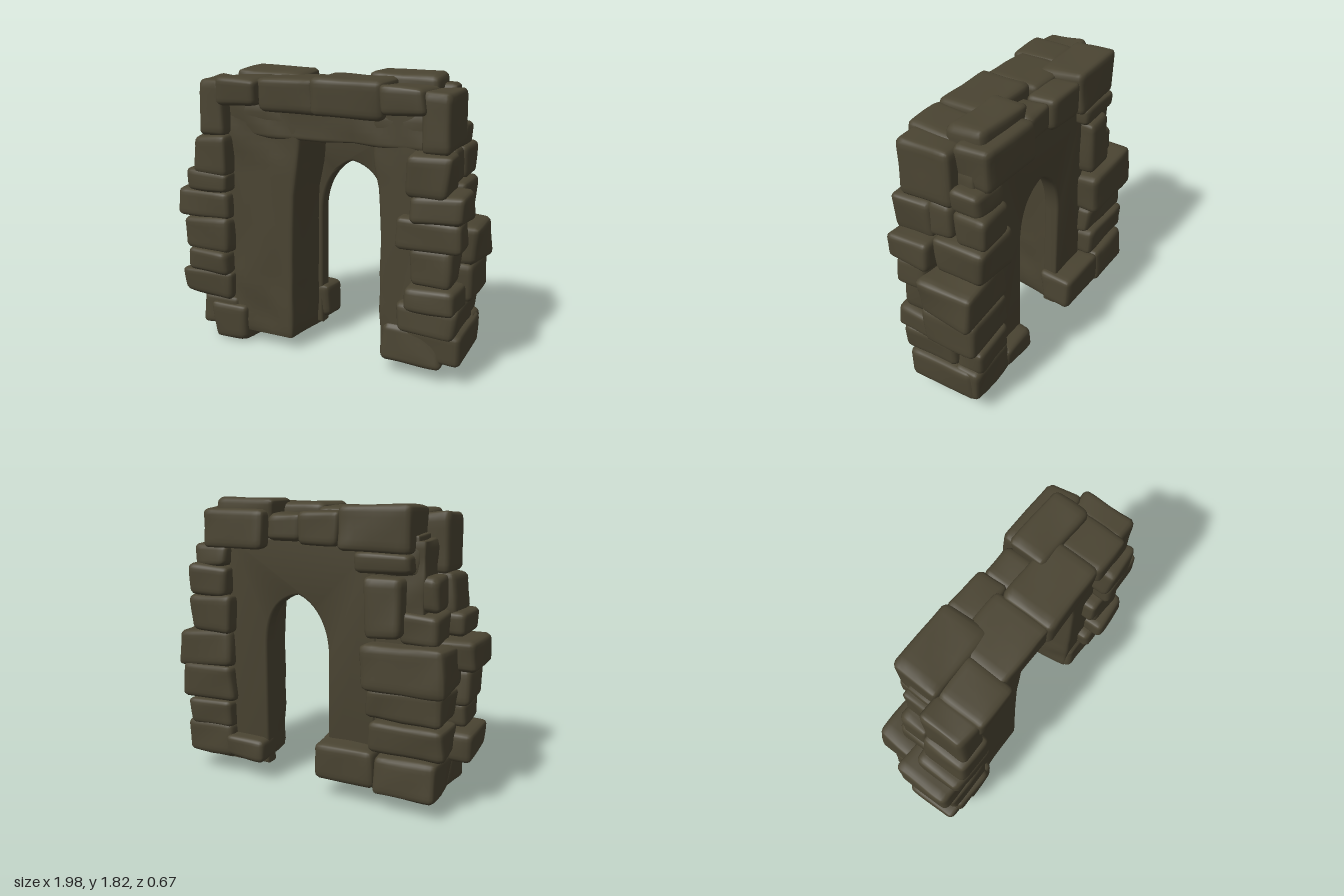
import * as THREE from 'three';
import { mergeVertices, toCreasedNormals } from 'three/addons/utils/BufferGeometryUtils.js';

const stoneMat = new THREE.MeshStandardMaterial({ color: 0x4a4432 });
stoneMat.name = 'darkStone';

// Small seeded generator, restarted for each stone
function seeded(seed) {
  let s = (seed * 2654435761 + 12345) >>> 0;
  return () => {
    s = (Math.imul(s, 1664525) + 1013904223) >>> 0;
    return s / 4294967296;
  };
}

// Rounded, slightly skewed and lumpy block filling the given extents
function block(x0, x1, y0, y1, z0, z1, seed, { round = 0.038, skew = 0.12, lump = 0.007, n = 8, warp } = {}) {
  const rnd = seeded(seed);
  for (let i = 0; i < 5; i++) rnd();
  const half = [(x1 - x0) / 2, (y1 - y0) / 2, (z1 - z0) / 2];
  const mid = [(x0 + x1) / 2, (y0 + y1) / 2, (z0 + z1) / 2];
  const r = Math.min(round, Math.min(...half) * 0.6);
  const amount = Math.min(...half) * 2 * skew;
  const corners = Array.from({ length: 8 }, () => [0, 1, 2].map(() => (rnd() * 1.2 - 0.25) * amount));
  const phase = [rnd() * 6, rnd() * 6, rnd() * 6];
  let geo = new THREE.BoxGeometry(2, 2, 2, n, n, n);
  geo.deleteAttribute('normal');
  geo.deleteAttribute('uv');
  geo = mergeVertices(geo);
  const pos = geo.attributes.position;
  const v = new THREE.Vector3();
  for (let i = 0; i < pos.count; i++) {
    // crowd the grid toward the edges, then round them
    const t = [pos.getX(i), pos.getY(i), pos.getZ(i)].map(a => Math.sign(a) * Math.pow(Math.abs(a), 0.55));
    const p = t.map((a, k) => a * half[k]);
    const inner = p.map((a, k) => THREE.MathUtils.clamp(a, r - half[k], half[k] - r));
    v.set(p[0] - inner[0], p[1] - inner[1], p[2] - inner[2]).normalize().multiplyScalar(r);
    const out = [inner[0] + v.x, inner[1] + v.y, inner[2] + v.z];
    // pull each corner by its own amount
    for (let c = 0; c < 8; c++) {
      const s = [c & 1 ? 1 : -1, c & 2 ? 1 : -1, c & 4 ? 1 : -1];
      const w = s.reduce((a, b, k) => a * (1 + b * t[k]) / 2, 1);
      for (let k = 0; k < 3; k++) out[k] -= s[k] * corners[c][k] * w;
    }
    // gentle undulation
    const a = out.map((e, k) => (e + mid[k]) * 13 + phase[k]);
    const wave = Math.sin(a[0] + a[1] * 0.6) * Math.sin(a[1] - a[2] * 0.5) * Math.cos(a[2] + a[0] * 0.4) * lump;
    v.normalize().multiplyScalar(wave);
    v.x += out[0] + mid[0]; v.y += out[1] + mid[1]; v.z += out[2] + mid[2];
    if (warp) warp(v);
    pos.setXYZ(i, v.x, v.y, v.z);
  }
  geo.computeVertexNormals();
  return geo;
}

// Each row: x0, x1, y0, y1, z0, z1
const sections = {
  rightFrontQuoins: [
    [-0.80, -0.59, 1.39, 1.76, 0.0, 0.30],
    [-0.84, -0.59, 1.14, 1.41, 0.02, 0.32],
    [-0.91, -0.58, 1.02, 1.18, 0.0, 0.32],
    [-1.0, -0.60, 0.83, 1.04, -0.09, 0.28],
    [-0.96, -0.59, 0.61, 0.86, 0.0, 0.29],
    [-0.92, -0.61, 0.47, 0.64, 0.03, 0.32],
    [-1.0, -0.60, 0.29, 0.49, -0.08, 0.28],
    [-0.87, -0.58, 0.09, 0.32, -0.05, 0.24],
    [-0.79, -0.50, 0.0, 0.26, 0.0, 0.26],
  ],
  leftFrontQuoins: [
    [0.66, 0.85, 1.39, 1.75, -0.09, 0.28],
    [0.60, 0.87, 1.15, 1.41, 0.05, 0.33],
    [0.62, 0.95, 1.00, 1.18, 0.02, 0.32],
    [0.53, 0.93, 0.82, 1.03, 0.06, 0.29],
    [0.61, 0.89, 0.61, 0.86, 0.05, 0.29],
    [0.61, 0.92, 0.47, 0.64, 0.04, 0.33],
    [0.54, 0.92, 0.31, 0.50, -0.11, 0.29],
    [0.58, 0.94, 0.10, 0.35, -0.24, 0.23],
  ],
  leftBackQuoins: [
    [0.58, 0.84, 1.38, 1.54, -0.26, -0.06],
    [0.60, 0.84, 1.18, 1.41, -0.08, 0.09],
    [0.57, 0.86, 1.19, 1.41, -0.29, -0.07],
    [0.55, 0.88, 0.96, 1.21, -0.28, 0.05],
    [0.55, 0.99, 0.71, 0.98, -0.26, 0.11],
    [0.55, 0.97, 0.48, 0.74, -0.26, 0.11],
    [0.56, 0.90, 0.31, 0.51, -0.28, -0.08],
    [0.56, 0.92, 0.12, 0.36, -0.26, -0.08],
    [0.32, 0.61, 0.12, 0.28, -0.28, -0.08],
  ],
  rightBackQuoins: [
    [-0.66, -0.30, 1.40, 1.54, -0.27, -0.08],
    [-0.62, -0.36, 1.03, 1.41, -0.28, -0.05],
    [-0.80, -0.58, 1.18, 1.41, -0.17, 0.04],
    [-0.82, -0.56, 0.99, 1.20, -0.21, 0.04],
    [-0.90, -0.35, 0.73, 1.02, -0.32, 0.02],
    [-0.88, -0.38, 0.52, 0.76, -0.28, 0.04],
    [-0.89, -0.40, 0.33, 0.54, -0.29, 0.0],
    [-0.87, -0.44, 0.09, 0.35, -0.32, 0.0],
    [-0.47, -0.07, 0.12, 0.37, -0.32, -0.08],
  ],
  frontCapstones: [
    [-0.65, -0.36, 1.59, 1.77, 0.0, 0.32],
    [-0.39, 0.02, 1.56, 1.78, -0.1, 0.28],
    [-0.01, 0.46, 1.56, 1.81, -0.06, 0.29],
    [0.42, 0.71, 1.59, 1.77, -0.02, 0.31],
  ],
  backCapstones: [
    [-0.66, -0.19, 1.52, 1.80, -0.28, 0.04],
    [-0.22, 0.09, 1.55, 1.76, -0.26, -0.05],
    [0.06, 0.30, 1.55, 1.74, -0.23, 0.0],
    [0.26, 0.71, 1.56, 1.82, -0.20, 0.06],
    [0.30, 0.77, 1.50, 1.76, -0.28, -0.04],
  ],
};

export function createModel() {
  const model = new THREE.Group();
  model.name = 'stoneArchway';
  const add = (name, geo, parent = model) => {
    const mesh = new THREE.Mesh(geo, stoneMat);
    mesh.name = name;
    parent.add(mesh);
  };

  // Masonry blocks around the edges
  let seed = 1;
  for (const [name, rows] of Object.entries(sections)) {
    const group = new THREE.Group();
    group.name = name;
    model.add(group);
    rows.forEach((row, i) => add(`${name}Block${i + 1}`, block(...row, seed++), group));
  }

  // Plastered core: two piers whose inner faces lean in toward the top and back
  const { smoothstep } = THREE.MathUtils;
  const plaster = { round: 0.02, skew: 0.01, lump: 0.012, n: 20 };
  const lean = side => v => {
    const inner = side < 0 ? smoothstep(v.x, -0.5, -0.2) : 1 - smoothstep(v.x, 0.42, 0.6);
    v.x -= side * inner * (0.015 * v.y + 0.045 * smoothstep(v.y, 0.95, 1.4) + 0.06 * (0.2 - v.z) / 0.38);
  };
  add('rightPier', block(-0.72, -0.19, 0.075, 1.6, -0.175, 0.205, 101, { ...plaster, warp: lean(-1) }));
  add('leftPier', block(0.425, 0.76, 0.09, 1.6, -0.175, 0.205, 102, { ...plaster, warp: lean(1) }));
  add('lintel', block(-0.68, 0.74, 1.4, 1.64, -0.175, 0.205, 103, plaster));
  add('leftPierFoot', block(0.44, 0.84, 0.085, 0.34, 0.0, 0.235, 104, { ...plaster, round: 0.04, skew: 0.08 }));

  // Thin back wall with a pointed arch opening
  const wall = new THREE.Shape();
  wall.moveTo(-0.42, 0.1);
  wall.lineTo(-0.11, 0.1);
  wall.lineTo(-0.11, 0.88);
  wall.bezierCurveTo(-0.11, 1.06, -0.02, 1.2, 0.1, 1.24);
  wall.bezierCurveTo(0.25, 1.21, 0.33, 1.1, 0.33, 0.88);
  wall.lineTo(0.33, 0.1);
  wall.lineTo(0.6, 0.1);
  wall.lineTo(0.6, 1.58);
  wall.lineTo(-0.42, 1.58);
  wall.closePath();
  const arch = new THREE.ExtrudeGeometry(wall, {
    depth: 0.07, curveSegments: 12, bevelEnabled: true, bevelThickness: 0.015, bevelSize: 0.015, bevelOffset: -0.015, bevelSegments: 2,
  });
  arch.translate(0, 0, -0.17);
  add('archWall', toCreasedNormals(arch, 0.8));

  return model;
}
